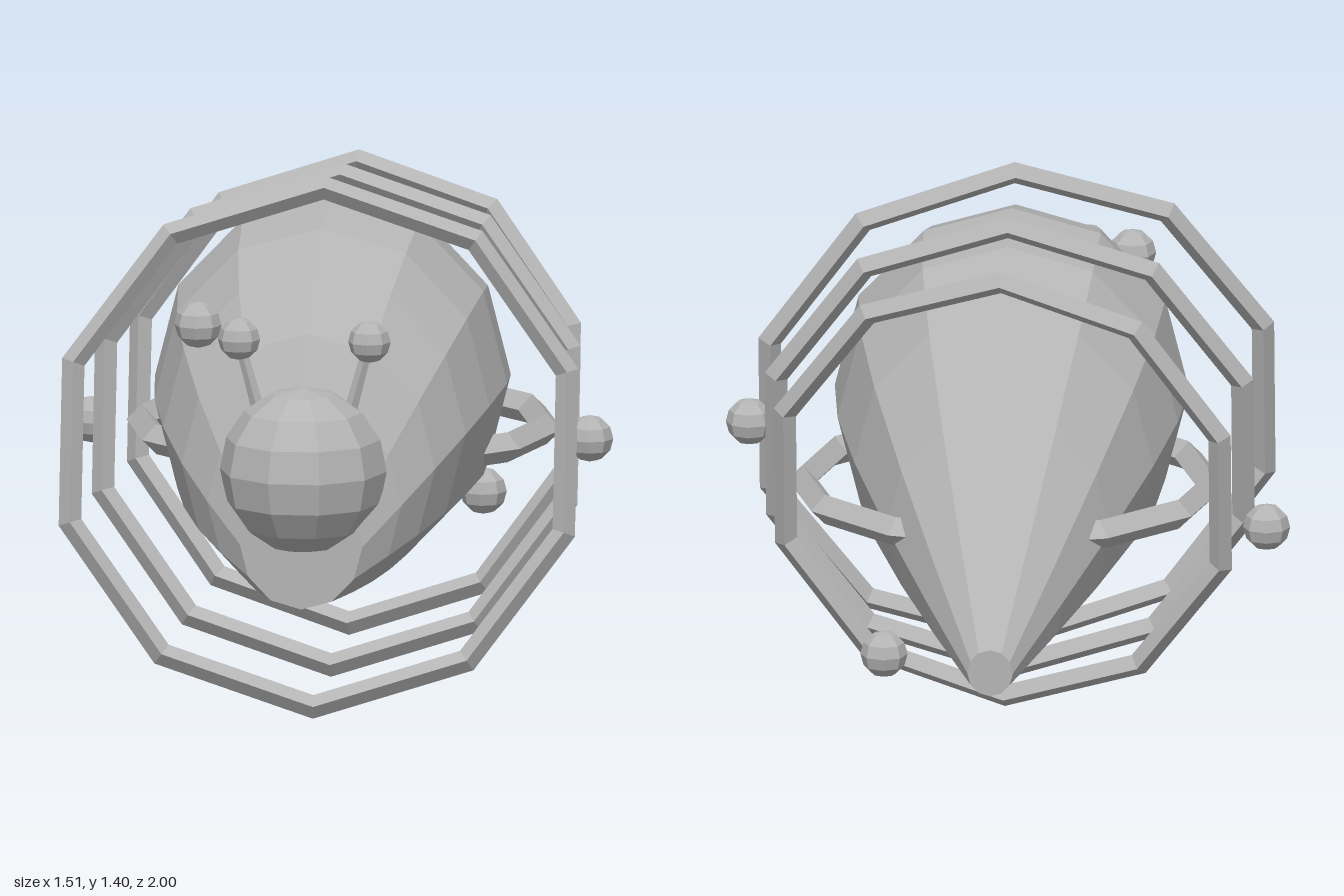
import * as THREE from 'three';

const grey = new THREE.MeshStandardMaterial({ color: 0xb4b4b4, flatShading: true });
grey.name = 'plain grey';

export function createModel() {
  const model = new THREE.Group();
  model.name = 'ringedCreature';

  const add = (name, geometry, x = 0, y = 0, z = 0) => {
    const mesh = new THREE.Mesh(geometry, grey);
    mesh.name = name;
    mesh.position.set(x, y, z);
    model.add(mesh);
    return mesh;
  };

  // Body: twelve-sided sections resting on one flat underside line, as [z, radius]
  const sections = [
    [0.84, 0.17], [0.77, 0.27], [0.68, 0.352], [0.545, 0.42], [0.385, 0.465], [0.19, 0.489],
    [-0.04, 0.47], [-0.26, 0.413], [-0.52, 0.31], [-0.76, 0.193], [-1, 0.063],
  ];
  const steps = sections.length - 1;
  const body = new THREE.CylinderGeometry(1, 1, 1, 12, steps).rotateX(Math.PI / 2);
  const p = body.attributes.position;
  for (let i = 0; i < p.count; i++) {
    const [z, r] = sections[Math.round((0.5 - p.getZ(i)) * steps)];
    p.setXYZ(i, p.getX(i) * r * 0.95, 0.345 + r + p.getY(i) * r, z);
  }
  body.computeVertexNormals();
  add('body', body);

  // Head
  add('head', new THREE.SphereGeometry(0.22, 10, 8), 0, 0.708, 0.79);

  // Antennae: a thin stalk with a ball at the tip, mirrored
  for (const side of [-1, 1]) {
    const base = new THREE.Vector3(side * 0.11, 0.82, 0.765);
    const tip = new THREE.Vector3(side * 0.172, 1.05, 0.772);
    const dir = tip.clone().sub(base);
    const mid = base.clone().add(tip).multiplyScalar(0.5);
    const stalk = add('antennaStalk', new THREE.CylinderGeometry(0.014, 0.019, dir.length(), 5), mid.x, mid.y, mid.z);
    stalk.quaternion.setFromUnitVectors(new THREE.Vector3(0, 1, 0), dir.normalize());
    add('antennaBall', new THREE.SphereGeometry(0.056, 8, 6), tip.x, tip.y, tip.z);
  }

  // Three tilted ten-sided rings, shrinking towards the tail
  for (let i = 0; i < 3; i++) {
    const geometry = new THREE.TorusGeometry(0.68 - i * 0.0375, 0.031, 4, 10).rotateZ(Math.PI / 2);
    const ring = add('tiltedRing', geometry, 0, 0.705, 0.46 - i * 0.385);
    ring.rotation.set(-0.175, (1 - i) * 0.1, 0);
  }

  // Level hoop passing through the body
  add('levelHoop', new THREE.TorusGeometry(0.535, 0.04, 4, 12).rotateX(Math.PI / 2), 0, 0.66, -0.1);

  // Floating balls around the body
  const balls = [[-0.293, 1.065, 0.665], [0.692, 0.708, 0.265], [-0.692, 0.615, -0.32], [0.292, 0.372, -0.715]];
  for (const [x, y, z] of balls) add('floatingBall', new THREE.SphereGeometry(0.062, 8, 6), x, y, z);

  return model;
}
